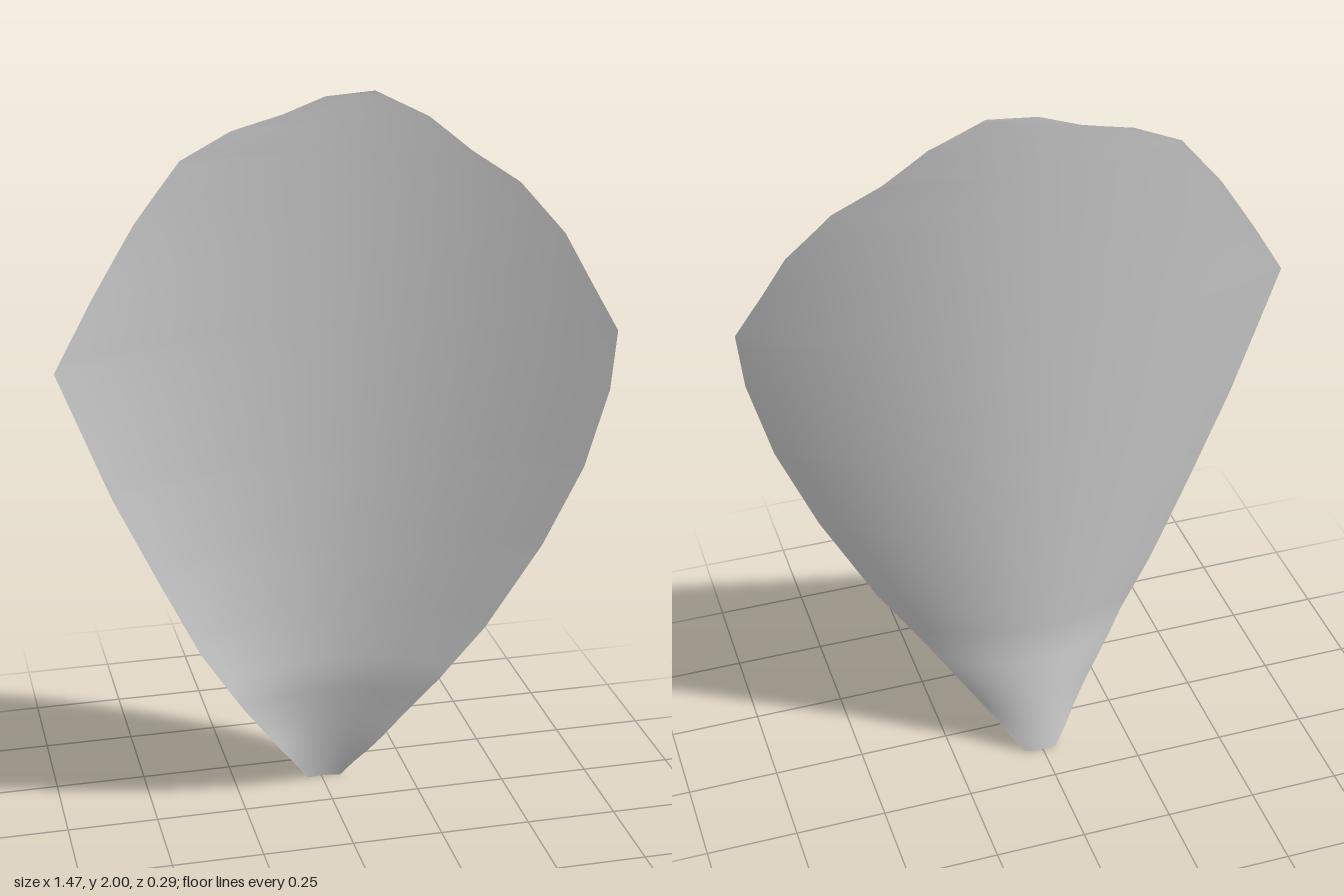
import * as THREE from 'three';

// Petal outline as [x, y], each edge running from the stem up to the tip
const leftEdge = [[-0.04, 0], [-0.24, 0.29], [-0.37, 0.5], [-0.48, 0.73], [-0.6, 0.99], [-0.737, 1.35],
  [-0.63, 1.52], [-0.51, 1.7], [-0.385, 1.85], [-0.25, 1.915], [-0.11, 1.95], [0, 1.99], [0.13, 2]];
const rightEdge = [[0.053, 0], [0.2, 0.21], [0.42, 0.52], [0.56, 0.77], [0.66, 1], [0.72, 1.22], [0.737, 1.38],
  [0.61, 1.63], [0.5, 1.76], [0.38, 1.84], [0.27, 1.93], [0.13, 2]];

// x of an edge at height y
function edgeX(edge, y) {
  for (let i = 1; i < edge.length; i++) {
    const [x0, y0] = edge[i - 1], [x1, y1] = edge[i];
    if (y <= y1) return x0 + (x1 - x0) * (y - y0) / (y1 - y0);
  }
  return edge[edge.length - 1][0];
}

// Cupped surface: tight curl at the stem, flatter on top, left side more open
function depth(x, y) {
  const spine = -0.08 - 0.06 * Math.max(0, 1 - y / 0.35);
  const curl = (x < 0 ? 0.03 : 0.17) + 0.325 / Math.max(y, 0.12);
  return spine + curl * x * x;
}

function petalGeometry() {
  // One row at every outline corner, plus extra rows through the bend of the stem
  const heights = [...leftEdge, ...rightEdge].map((p) => p[1]);
  for (let y = 0.05; y < 0.6; y += 0.05) heights.push(y);
  const rows = [...new Set(heights.map((y) => +y.toFixed(3)))].sort((a, b) => a - b);
  const columns = 24, positions = [], indices = [];
  rows.forEach((y, r) => {
    const xl = edgeX(leftEdge, y), xr = edgeX(rightEdge, y);
    for (let c = 0; c <= columns; c++) {
      const x = xl + (xr - xl) * c / columns;
      positions.push(x, y, depth(x, y));
      if (r === 0 || c === 0) continue;
      const d = r * (columns + 1) + c, b = d - columns - 1;
      indices.push(b - 1, b, d);
      if (r < rows.length - 1) indices.push(b - 1, d, d - 1);
    }
  });
  // Close the tip, where the last row meets in one point
  const tip = (rows.length - 1) * (columns + 1);
  for (let i = 0; i < indices.length; i++) if (indices[i] > tip) indices[i] = tip;
  const geometry = new THREE.BufferGeometry();
  geometry.setAttribute('position', new THREE.Float32BufferAttribute(positions, 3));
  geometry.setIndex(indices);
  geometry.computeVertexNormals();
  return geometry;
}

export function createModel() {
  const group = new THREE.Group();
  group.name = 'petalModel';
  const material = new THREE.MeshStandardMaterial({ color: 0xcccccc, side: THREE.DoubleSide });
  material.name = 'pale grey';
  const petal = new THREE.Mesh(petalGeometry(), material);
  petal.name = 'petal';
  group.add(petal);
  return group;
}
